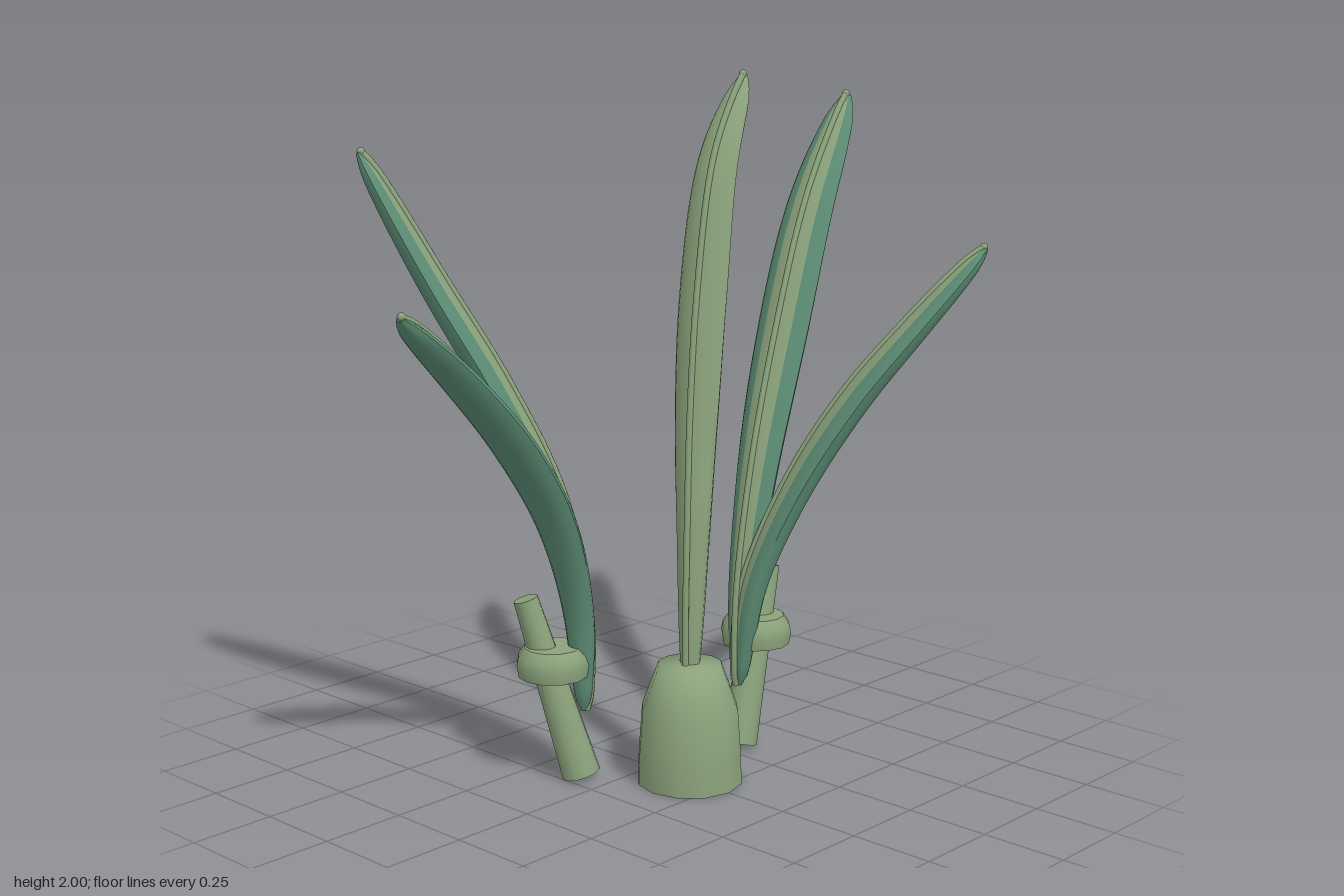
import * as THREE from 'three';
import { toCreasedNormals } from 'three/addons/utils/BufferGeometryUtils.js';

const mat = (name, color) => Object.assign(new THREE.MeshStandardMaterial({ color }), { name });
const V = (x, y, z) => new THREE.Vector3(x, y, z);
const spread = values => new THREE.SplineCurve(values.map((v, i) => new THREE.Vector2(i / (values.length - 1), v)));

// Leaf cross-section: roof-like top sloping from the midrib, rounded underside
const SECTION = [[1, 0], [0.86, 0.34], [0.52, 0.58], [0.12, 0.86], [-0.12, 0.86], [-0.52, 0.58], [-0.86, 0.34],
  [-1, 0], [-0.86, -0.5], [-0.5, -0.85], [0, -1], [0.5, -0.85], [0.86, -0.5]];
// Half-width and half-thickness from base to tip
const WIDTHS = spread([0.024, 0.042, 0.056, 0.07, 0.081, 0.086, 0.083, 0.07, 0.042]);
const DEPTHS = spread([0.024, 0.038, 0.043, 0.046, 0.048, 0.047, 0.043, 0.036, 0.024]);

// Returns the blade geometry and the line its midrib follows
function leafShape(points, widthScale) {
  const path = new THREE.CatmullRomCurve3(points.map(p => V(...p)));
  const steps = 48, n = SECTION.length;
  const lean = points[points.length - 1].map((c, i) => c - points[0][i]);
  const across = V(0, 1, 0).cross(V(lean[0], 0, lean[2])).normalize();
  const pos = [], band = [], rest = [], rib = [];

  for (let i = 0; i <= steps; i++) {
    const t = i / steps;
    const p = path.getPointAt(t), tan = path.getTangentAt(t);
    const up = tan.clone().cross(across).normalize();
    const side = up.clone().cross(tan).normalize();
    // Round off both ends
    const end = Math.max(0, (t - 0.94) / 0.06, (0.04 - t) / 0.04);
    const r = Math.sqrt(Math.max(0.12, 1 - end ** 2));
    const w = WIDTHS.getPoint(t).y * widthScale * r;
    const d = DEPTHS.getPoint(t).y * r;
    for (const [s, h] of SECTION) {
      const q = p.clone().addScaledVector(side, s * w).addScaledVector(up, h * d);
      pos.push(q.x, q.y, q.z);
    }
    rib.push(p.clone().addScaledVector(up, 0.86 * d));
  }
  for (let i = 0; i < steps; i++) for (let j = 0; j < n; j++) {
    const a = i * n + j, b = i * n + (j + 1) % n;
    (j >= 2 && j <= 4 ? band : rest).push(a, b, b + n, a, b + n, a + n);
  }
  // End caps
  for (let k = 1; k < n - 1; k++) {
    const e = steps * n;
    rest.push(0, k + 1, k, e, e + k, e + k + 1);
  }
  const g = new THREE.BufferGeometry();
  g.setAttribute('position', new THREE.Float32BufferAttribute(pos, 3));
  g.setIndex([...band, ...rest]);
  g.addGroup(0, band.length, 0);
  g.addGroup(band.length, rest.length, 1);
  return { blade: toCreasedNormals(g, 0.9), rib: new THREE.CatmullRomCurve3(rib) };
}

function lathe(profile, sides, crease) {
  const g = new THREE.LatheGeometry(profile.map(p => new THREE.Vector2(...p)), sides);
  return toCreasedNormals(g, crease);
}

export function createModel() {
  const model = new THREE.Group();
  model.name = 'leafyPlant';
  const olive = mat('oliveGreen', 0x8ba37c);
  const teal = mat('blueGreen', 0x5c8c74);

  const add = (name, geometry, material, parent = model) => {
    const m = new THREE.Mesh(geometry, material);
    m.name = name;
    parent.add(m);
    return m;
  };

  // Central bulb, softly shaded over its shoulder
  add('bulb', lathe([[0, 0], [0.152, 0], [0.15, 0.08], [0.14, 0.22], [0.092, 0.35], [0, 0.352]], 12, 1.3), olive)
    .position.set(0, 0, 0.15);

  // Leaves: base to tip
  const leaves = {
    centreLeaf: [[-0.005, 0.22, 0.15], [0.02, 0.7, 0.14], [0.06, 1.05, 0.115], [0.115, 1.4, 0.09], [0.2, 1.75, 0.065], [0.325, 1.985, 0.05]],
    leftBackLeaf: [[0.285, 0.2, 0.08], [0.305, 0.5, 0.08], [0.385, 0.85, 0.065], [0.51, 1.2, 0.04], [0.68, 1.58, 0.005], [0.885, 1.9, -0.025]],
    leftFrontLeaf: [[0.285, 0.2, 0.085], [0.31, 0.5, 0.115], [0.4, 0.8, 0.2], [0.52, 1.06, 0.31], [0.66, 1.28, 0.43], [0.82, 1.49, 0.545]],
    rightBackLeaf: [[-0.188, 0.2, -0.088], [-0.195, 0.5, -0.105], [-0.25, 0.83, -0.155], [-0.345, 1.13, -0.26], [-0.46, 1.43, -0.39], [-0.59, 1.79, -0.54]],
    rightFrontLeaf: [[-0.188, 0.2, -0.088], [-0.205, 0.5, -0.09], [-0.295, 0.77, -0.08], [-0.46, 1.02, -0.07], [-0.67, 1.24, -0.055], [-0.885, 1.425, -0.03]],
  };
  for (const [name, points] of Object.entries(leaves)) {
    const centre = name === 'centreLeaf';
    const { blade, rib } = leafShape(points, centre ? 0.85 : 1);
    add(name, blade, centre ? [olive, olive] : [olive, teal]);
    // Raised midrib ending in a small knob
    add(name + 'Midrib', new THREE.TubeGeometry(rib, 48, 0.01, 6), olive);
    add(name + 'Tip', new THREE.SphereGeometry(0.012, 8, 6), olive).position.copy(rib.getPoint(1));
  }

  // Tilted side stems, each with an upright collar
  const stems = [
    ['left', V(0.298, 0.015, 0.075), V(0.44, 0.535, 0.06), [0.376, 0.31, 0.072]],
    ['right', V(-0.205, 0.015, -0.085), V(-0.308, 0.535, -0.2), [-0.256, 0.31, -0.145]],
  ];
  for (const [label, foot, top, ring] of stems) {
    const group = new THREE.Group();
    group.name = label + 'Stem';
    model.add(group);
    const axis = top.clone().sub(foot);
    const stalk = add(label + 'Stalk',
      toCreasedNormals(new THREE.CylinderGeometry(0.036, 0.056, axis.length(), 12), 0.7), olive, group);
    stalk.position.copy(foot).add(top).multiplyScalar(0.5);
    stalk.quaternion.setFromUnitVectors(V(0, 1, 0), axis.normalize());
    add(label + 'Collar', lathe([[0, 0], [0.1, 0], [0.106, 0.035], [0.101, 0.06], [0.083, 0.086], [0, 0.086]], 12, 0.7), olive, group)
      .position.set(...ring);
  }
  return model;
}
